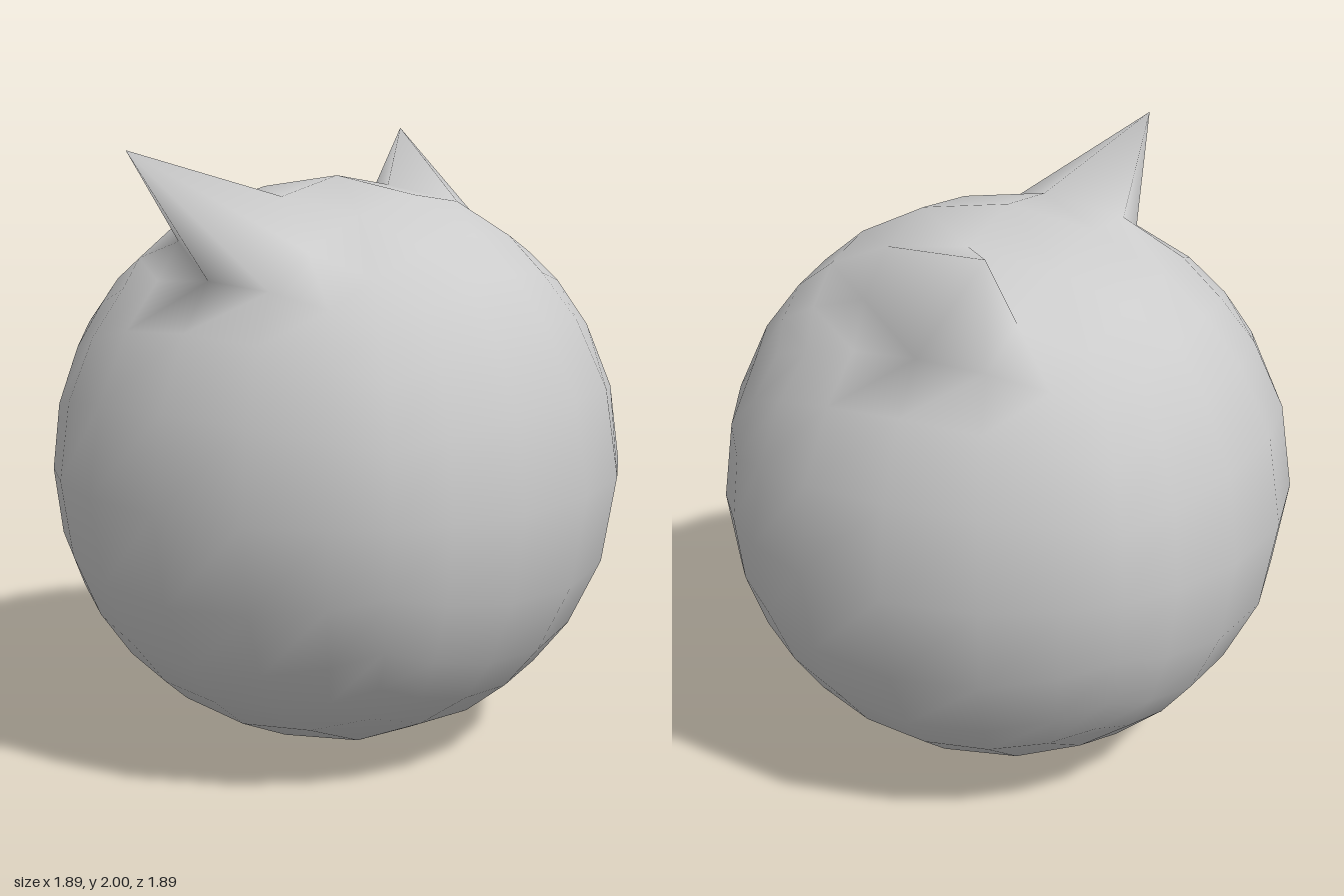
import * as THREE from 'three';
import { mergeVertices } from 'three/addons/utils/BufferGeometryUtils.js';

const RADIUS = 0.943;
const SEGMENTS = 6;

// Ear tips, each pulled out of one grid point on the top face of the cube
const EARS = [
  { from: new THREE.Vector3(2 / 3, 1, 0), tip: new THREE.Vector3(0.81, 2.0, -0.29) },
  { from: new THREE.Vector3(-2 / 3, 1, 0), tip: new THREE.Vector3(-0.83, 2.0, -0.17) },
];

export function createModel() {
  const group = new THREE.Group();
  group.name = 'earedBall';

  // Subdivided cube, welded so the shading runs smoothly over its edges
  let geometry = new THREE.BoxGeometry(2, 2, 2, SEGMENTS, SEGMENTS, SEGMENTS);
  geometry.deleteAttribute('normal');
  geometry.deleteAttribute('uv');
  geometry = mergeVertices(geometry, 1e-4);

  // Round the cube into a ball and pull out the two ears
  const position = geometry.attributes.position;
  const p = new THREE.Vector3();
  for (let i = 0; i < position.count; i++) {
    p.fromBufferAttribute(position, i);
    const ear = EARS.find((e) => e.from.distanceTo(p) < 0.01);
    if (ear) p.copy(ear.tip);
    else {
      p.setLength(RADIUS);
      p.y += RADIUS;
    }
    position.setXYZ(i, p.x, p.y, p.z);
  }
  geometry.computeVertexNormals();

  const head = new THREE.Mesh(geometry, new THREE.MeshStandardMaterial({ color: 0xcccccc }));
  head.name = 'headWithEars';
  group.add(head);
  return group;
}
